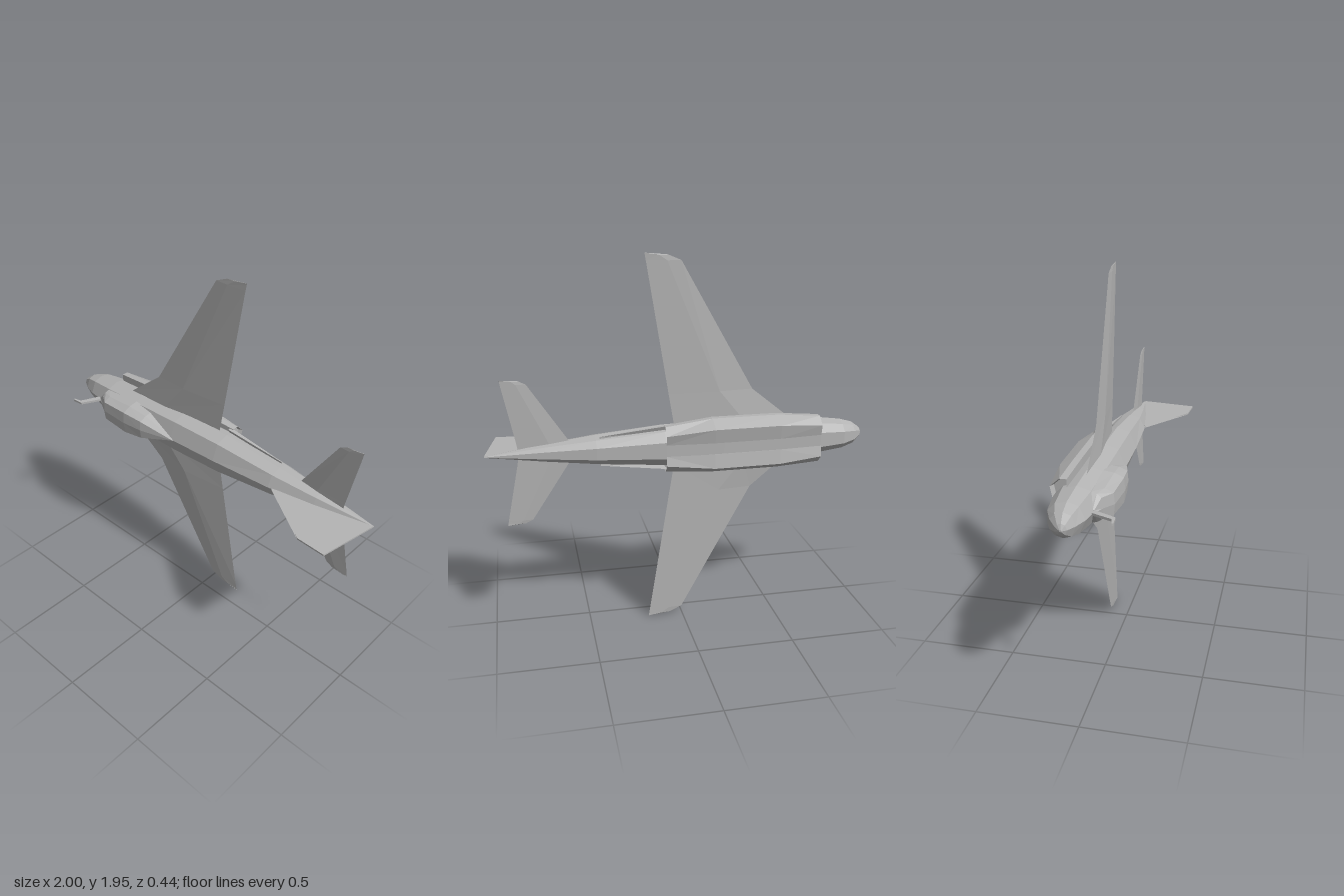
import * as THREE from 'three';

// Skin a list of equal-length rings of [x, y, z] points, with capped ends
function loft(rings) {
  const n = rings[0].length;
  const tris = [];
  for (let i = 0; i < rings.length - 1; i++) {
    for (let j = 0; j < n; j++) {
      const k = (j + 1) % n;
      const a = rings[i][j], b = rings[i][k], c = rings[i + 1][k], d = rings[i + 1][j];
      tris.push([a, b, c], [a, c, d]);
    }
  }
  const first = rings[0], last = rings[rings.length - 1];
  for (let j = 1; j < n - 1; j++) {
    tris.push([first[0], first[j + 1], first[j]], [last[0], last[j], last[j + 1]]);
  }
  // Turn every face outwards, whichever way the rings run
  let volume = 0;
  for (const [a, b, c] of tris) {
    volume += a[0] * (b[1] * c[2] - b[2] * c[1])
      + a[1] * (b[2] * c[0] - b[0] * c[2]) + a[2] * (b[0] * c[1] - b[1] * c[0]);
  }
  const points = tris.flatMap(([a, b, c]) => (volume < 0 ? [a, c, b] : [a, b, c])).flat();
  const geometry = new THREE.BufferGeometry();
  geometry.setAttribute('position', new THREE.Float32BufferAttribute(points, 3));
  geometry.computeVertexNormals();
  return geometry;
}

// Thin lifting surface from stations [span, leadX, leadZ, trailX, trailZ, half thickness]
function surface(stations, side) {
  return loft(stations.map(([y, lx, lz, tx, tz, t]) => {
    const mx = lx + (tx - lx) * 0.4, mz = lz + (tz - lz) * 0.4;
    return [[lx, y * side, lz], [mx, y * side, mz + t], [tx, y * side, tz], [mx, y * side, mz - t]];
  }));
}

// Flat plate in the x-z plane, centred on the plane of symmetry
function plate(outline, thickness) {
  return loft([-thickness / 2, thickness / 2].map(y => outline.map(([x, z]) => [x, y, z])));
}

export function createModel() {
  const grey = new THREE.MeshStandardMaterial({ color: 0xb4b4b4 });
  grey.name = 'airframe grey';
  grey.flatShading = true;
  grey.side = THREE.DoubleSide;

  const model = new THREE.Group();
  model.name = 'jet';
  const airframe = new THREE.Group();
  airframe.name = 'airframe';
  airframe.position.y = 0.975;
  model.add(airframe);
  const add = (name, geometry) => {
    const mesh = new THREE.Mesh(geometry, grey);
    mesh.name = name;
    airframe.add(mesh);
  };

  // Fuselage: [x, half width, top z, bottom z]
  const body = [
    [-1, 0.004, -0.055, -0.065], [-0.985, 0.028, -0.035, -0.09], [-0.94, 0.06, -0.01, -0.127],
    [-0.87, 0.08, 0.014, -0.158], [-0.73, 0.098, 0.035, -0.175], [-0.5, 0.108, 0.042, -0.185],
    [-0.2, 0.114, 0.04, -0.192], [0.1, 0.108, 0.03, -0.192], [0.45, 0.075, 0.006, -0.174],
    [0.7, 0.045, -0.035, -0.143], [1, 0.002, -0.1, -0.106],
  ];
  add('fuselage', loft(body.map(([x, w, top, bottom]) => {
    const h = top - bottom;
    const half = [[0.8, 0.16], [1, 0.48], [0.82, 0.8], [0.4, 1]];
    const right = half.map(([s, f]) => [x, w * s, top - h * f]);
    const left = half.map(([s, f]) => [x, -w * s, top - h * f]).reverse();
    return [[x, 0, top], ...right, ...left];
  })));

  // Canopy: [x, half width, top z, base z]
  const glass = [
    [-0.78, 0.012, 0.034, 0.01], [-0.73, 0.068, 0.055, 0], [-0.67, 0.072, 0.096, 0],
    [-0.5, 0.084, 0.105, 0], [-0.38, 0.07, 0.094, 0], [-0.18, 0.004, 0.042, 0.01],
  ];
  add('canopy', loft(glass.map(([x, w, top, base]) => {
    const mid = base + (top - base) * 0.5;
    return [[x, w * 1.1, base], [x, w, mid], [x, w * 0.75, top - 0.006], [x, 0, top],
      [x, -w * 0.75, top - 0.006], [x, -w, mid], [x, -w * 1.1, base]];
  })));

  // Tail fin and refuelling probe
  add('tailFin', plate([[0.47, 0.003], [0.58, 0.005], [0.76, 0.185], [0.79, 0.208],
    [0.945, 0.216], [1, -0.1], [0.8, -0.07]], 0.008));
  add('probeArm', plate([[-0.8, 0.02], [-0.845, 0.122], [-0.825, 0.136], [-0.77, 0.03]], 0.012));
  add('probeTip', plate([[-0.845, 0.122], [-0.89, 0.132], [-0.885, 0.14], [-0.825, 0.136]], 0.012));

  for (const side of [1, -1]) {
    const label = side > 0 ? 'upper' : 'lower';

    // Wings with a kinked leading edge and clipped tips
    add(label + 'Wing', surface([
      [0.05, -0.655, -0.055, 0.03, -0.09, 0.016], [0.11, -0.58, -0.056, 0.042, -0.09, 0.015],
      [0.27, -0.38, -0.064, 0.069, -0.091, 0.011], [0.935, 0.003, -0.092, 0.179, -0.097, 0.003],
      [0.963, 0.07, -0.094, 0.184, -0.098, 0.002], [0.973, 0.184, -0.097, 0.186, -0.098, 0.001],
    ], side));

    // Tailplanes
    add(label + 'Tailplane', surface([
      [0.01, 0.55, -0.09, 0.833, -0.09, 0.006], [0.06, 0.583, -0.09, 0.841, -0.09, 0.005],
      [0.355, 0.778, -0.09, 0.901, -0.09, 0.003], [0.373, 0.815, -0.09, 0.904, -0.09, 0.002],
      [0.379, 0.903, -0.09, 0.905, -0.09, 0.001],
    ], side));

    // Engine nacelle with recessed intake and exhaust: [x, outer y, top z, bottom z]
    const pod = [
      [-0.73, 0.125, -0.11, -0.19], [-0.5, 0.143, -0.104, -0.212],
      [-0.15, 0.143, -0.108, -0.219], [0.1, 0.118, -0.13, -0.205],
    ].map(([x, o, top, bottom]) => [[x, 0.05, top], [x, o, top], [x, o, top - 0.035],
      [x, o - 0.04, bottom], [x, 0.03, bottom + 0.012]].map(([a, y, z]) => [a, y * side, z]));
    const recess = (ring, dx) => {
      const mean = axis => ring.reduce((sum, p) => sum + p[axis], 0) / ring.length;
      const cy = mean(1), cz = mean(2);
      return ring.map(([x, y, z]) => [x + dx, cy + (y - cy) * 0.75, cz + (z - cz) * 0.75]);
    };
    add(label + 'Nacelle', loft([recess(pod[0], 0.03), ...pod, recess(pod[3], -0.02)]));

    // Slim fairing trailing behind the exhaust
    add(label + 'Fairing', loft([[0.08, 0.116, 0.012], [0.43, 0.076, 0.002]].map(([x, y, r]) =>
      [[x, y * side, r - 0.125], [x, (y - 0.03) * side, -0.125], [x, y * side, -r - 0.125]])));
  }
  return model;
}
